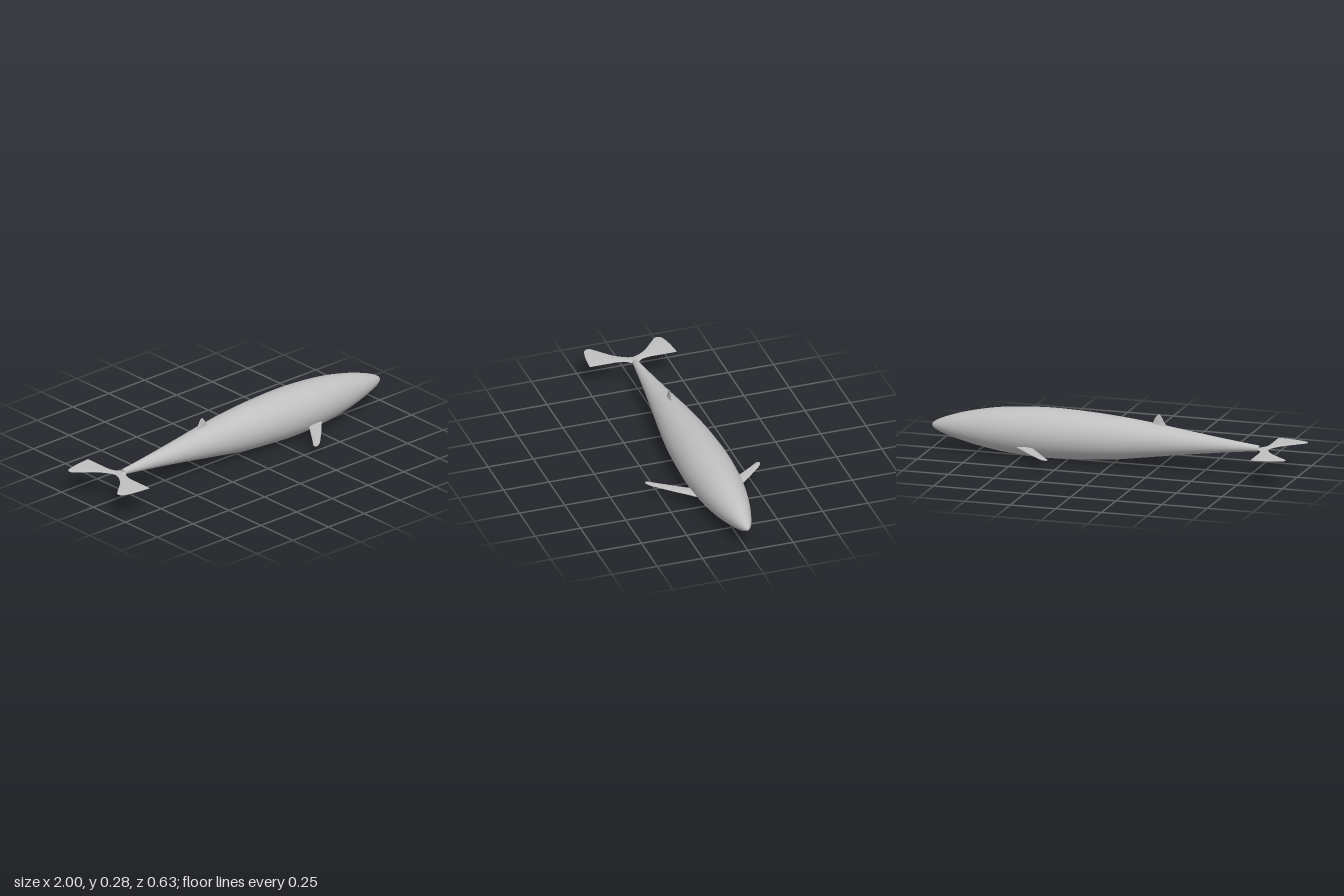
import * as THREE from 'three';

const grey = new THREE.MeshStandardMaterial({ color: 0xc0c0c0 });
grey.name = 'whale grey';

// Skin a row of rings; ring(section, cos, sin) returns a point, turning counter-clockwise about the path.
function loft(sections, sides, ring) {
  const pos = [], idx = [];
  sections.forEach((s) => {
    for (let j = 0; j < sides; j++) {
      const a = (j / sides) * Math.PI * 2;
      pos.push(...ring(s, Math.cos(a), Math.sin(a)));
    }
  });
  for (let i = 0; i < sections.length - 1; i++) {
    for (let j = 0; j < sides; j++) {
      const a = i * sides + j, b = i * sides + ((j + 1) % sides);
      idx.push(a, b, a + sides, b, b + sides, a + sides);
    }
  }
  const g = new THREE.BufferGeometry();
  g.setAttribute('position', new THREE.Float32BufferAttribute(pos, 3));
  g.setIndex(idx);
  g.computeVertexNormals();
  return g;
}

// Smooth a short list of three-number sections.
const smooth = (list, n) =>
  new THREE.CatmullRomCurve3(list.map((p) => new THREE.Vector3(...p))).getPoints(n);

// Close a row of sections with a point at either end.
function closeEnds(list) {
  const pinch = (p) => new THREE.Vector3(p.x, (p.y + p.z) / 2, (p.y + p.z) / 2);
  return [pinch(list[0]), ...list, pinch(list[list.length - 1])];
}

function mesh(name, geometry) {
  const m = new THREE.Mesh(geometry, grey);
  m.name = name;
  return m;
}

// Body: x, centre height, radius from tail stock to nose
function makeBody() {
  const rows = smooth([
    [-0.79, 0.14, 0.015], [-0.6, 0.14, 0.037], [-0.4, 0.14, 0.063], [-0.2, 0.139, 0.091],
    [0, 0.135, 0.115], [0.2, 0.134, 0.128], [0.35, 0.133, 0.132], [0.5, 0.133, 0.126],
    [0.65, 0.133, 0.111], [0.8, 0.132, 0.082], [0.9, 0.13, 0.054], [0.96, 0.128, 0.032],
    [0.99, 0.127, 0.014], [1, 0.126, 0],
  ], 70);
  rows.unshift(new THREE.Vector3(-0.79, 0.14, 0));
  return mesh('body', loft(rows, 48, (s, c, n) => [s.x, s.y + s.z * c, s.z * n]));
}

// Horizontal fin growing towards +z: span, rear x, front x
function finGeometry(list, rootHalf, tipHalf) {
  const end = list[list.length - 1][0];
  return loft(closeEnds(smooth(list, 40)), 20, (s, c, n) => {
    const half = THREE.MathUtils.lerp(rootHalf, tipHalf, Math.min(1, s.x / end));
    const width = Math.abs(s.z - s.y) / 2;
    return [(s.y + s.z) / 2 + width * c, Math.min(half, width) * n, s.x];
  });
}

// Fins are symmetric top to bottom, so a half turn about x gives the other side
function addPair(group, name, geometry, y) {
  for (const [side, turn] of [['right', 0], ['left', Math.PI]]) {
    const fin = mesh(`${side}${name}`, geometry);
    fin.position.y = y;
    fin.rotation.x = turn;
    group.add(fin);
  }
}

export function createModel() {
  const whale = new THREE.Group();
  whale.name = 'whale';
  whale.add(makeBody());

  // Pectoral fins, swept back
  addPair(whale, 'PectoralFin', finGeometry([
    [0.08, 0.425, 0.52], [0.11, 0.405, 0.5], [0.135, 0.39, 0.475], [0.2, 0.343, 0.415],
    [0.25, 0.307, 0.365], [0.29, 0.277, 0.325], [0.305, 0.268, 0.307], [0.315, 0.272, 0.287],
  ], 0.012, 0.003), 0.067);

  // Tail flukes, waisted at the tail stock
  addPair(whale, 'TailFluke', finGeometry([
    [0, -0.845, -0.78], [0.02, -0.85, -0.79], [0.045, -0.862, -0.81], [0.09, -0.895, -0.82],
    [0.13, -0.94, -0.82], [0.16, -0.975, -0.82], [0.185, -0.998, -0.82], [0.21, -0.99, -0.82],
    [0.23, -0.925, -0.82], [0.239, -0.84, -0.82],
  ], 0.005, 0.0025), 0.138);

  // Small dorsal fin: height, rear x, front x
  const dorsalRows = closeEnds(smooth([
    [0.2, -0.3, -0.18], [0.222, -0.285, -0.202], [0.24, -0.272, -0.214],
    [0.26, -0.262, -0.223], [0.272, -0.254, -0.233], [0.278, -0.248, -0.24],
  ], 20));
  whale.add(mesh('dorsalFin', loft(dorsalRows, 16, (s, c, n) => [
    (s.y + s.z) / 2 + ((s.z - s.y) / 2) * n, s.x, ((s.z - s.y) / 2) * 0.14 * c,
  ])));

  return whale;
}
